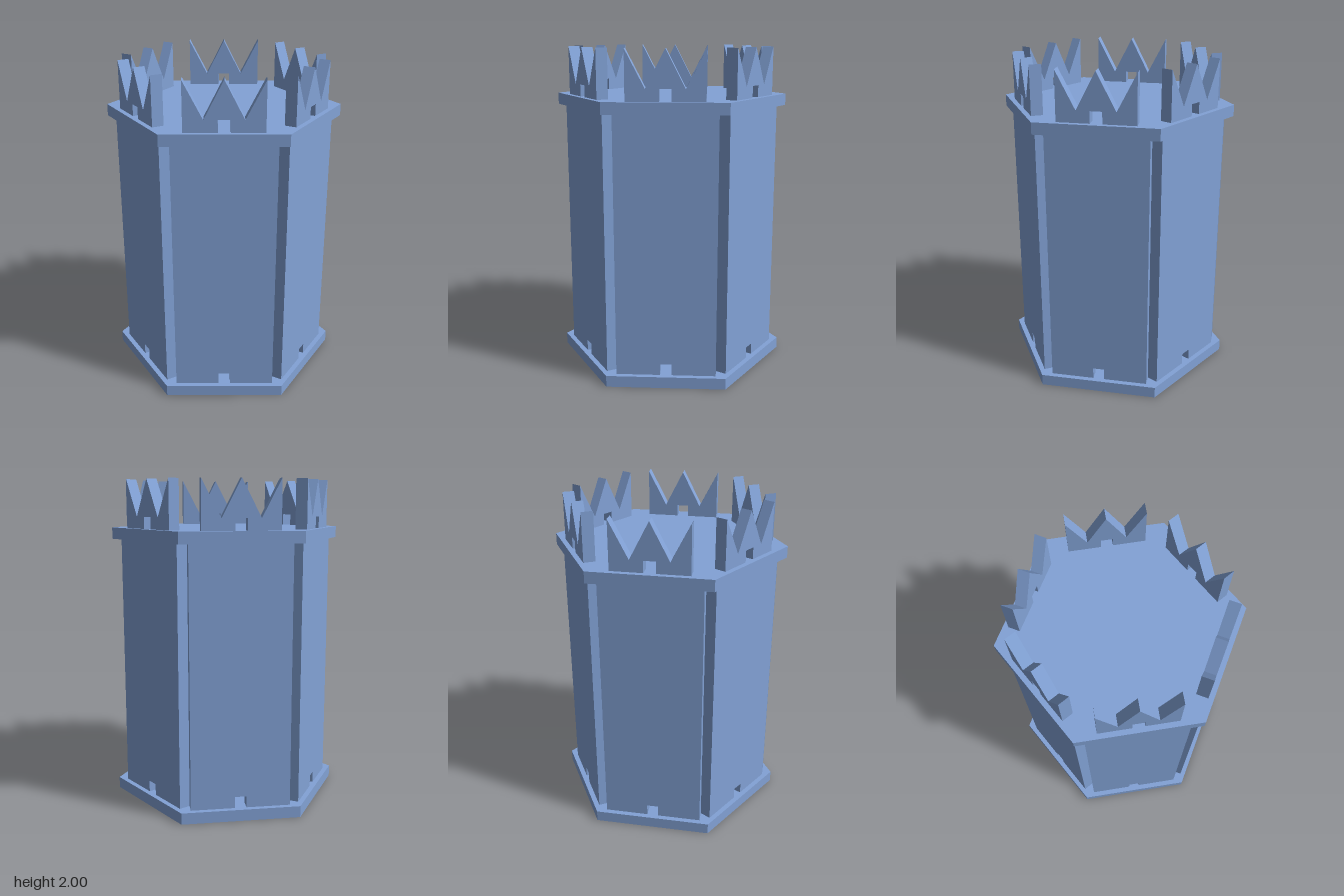
import * as THREE from 'three';

const material = new THREE.MeshStandardMaterial({ color: 0x82a2d6, flatShading: true });
const PLATE = 0.07;          // plate thickness
const WALL = 0.07;           // wall thickness
const INNER = 0.52;          // distance from axis to inner wall face
const RADIUS = 0.717;        // plate corner radius
const SLOT = 0.035;          // half width and half height of the small slots
const DECK = 1.64;           // underside of the upper plate

function extrude(name, shape, depth) {
  const geometry = new THREE.ExtrudeGeometry(shape, { depth, bevelEnabled: false, curveSegments: 16 });
  const mesh = new THREE.Mesh(geometry, material);
  mesh.name = name;
  return mesh;
}

function polygon(points) {
  return new THREE.Shape(points.map(([x, y]) => new THREE.Vector2(x, y)));
}

// Hexagonal plate with corners on the z axis and optional round holes
function plate(name, y, holes = []) {
  const corners = [];
  for (let i = 0; i < 6; i++) {
    const a = Math.PI / 2 + i * Math.PI / 3;
    corners.push([RADIUS * Math.cos(a), RADIUS * Math.sin(a)]);
  }
  const shape = polygon(corners);
  for (const z of holes) shape.holes.push(new THREE.Path().absarc(0, z, 0.06, 0, Math.PI * 2, true));
  const mesh = extrude(name, shape, PLATE);
  mesh.rotation.x = -Math.PI / 2;
  mesh.position.y = y;
  return mesh;
}

// Upright slab outline from its base, with a slot cut at bottom centre
function slottedOutline(half, base, top) {
  return polygon([
    [-half, base], [-SLOT, base], [-SLOT, base + 2 * SLOT], [SLOT, base + 2 * SLOT],
    [SLOT, base], [half, base], ...top,
  ]);
}

export function createModel() {
  const model = new THREE.Group();
  model.name = 'hexagonalTower';
  model.add(plate('basePlate', 0, [-0.34, 0.34]), plate('upperPlate', DECK, []));

  // Six walls meeting at their inner edges, each with a zigzag crest above
  const half = INNER * Math.tan(Math.PI / 6);
  const wallShape = slottedOutline(half, PLATE, [[half, DECK], [-half, DECK]]);
  const crestShape = slottedOutline(0.227, DECK + PLATE,
    [[0.227, 2], [0.113, 1.78], [0, 2], [-0.113, 1.78], [-0.227, 2]]);

  for (let i = 0; i < 6; i++) {
    const side = new THREE.Group();
    side.name = `side${i + 1}`;
    const wall = extrude('wallPanel', wallShape, WALL);
    const crest = extrude('crest', crestShape, WALL);
    wall.position.z = crest.position.z = INNER;
    side.add(wall, crest);
    side.rotation.y = Math.PI / 2 + i * Math.PI / 3;
    model.add(side);
  }
  return model;
}
